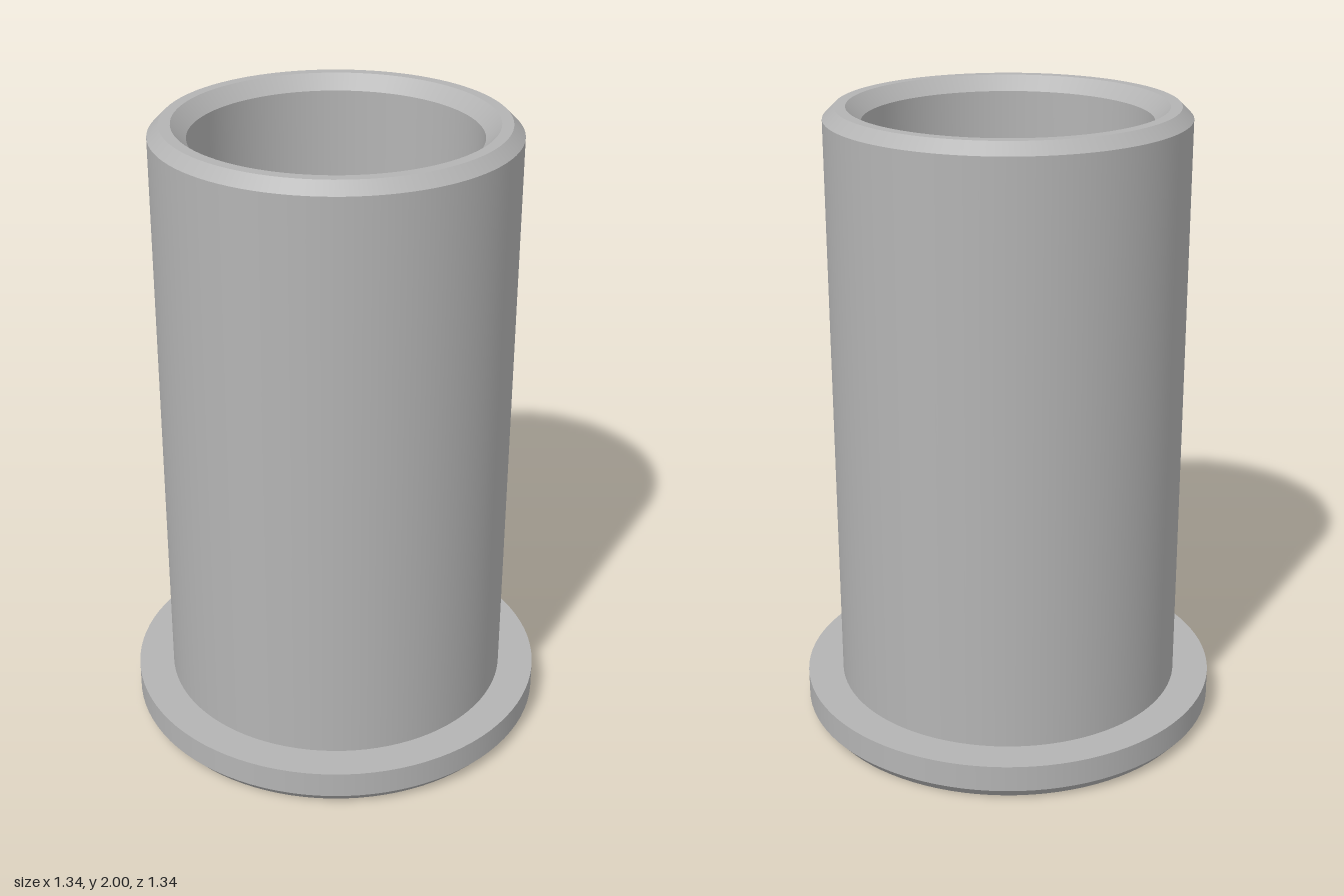
import * as THREE from 'three';
import { mergeGeometries } from 'three/addons/utils/BufferGeometryUtils.js';

const SEGMENTS = 96;

// Revolves each straight stretch of a profile on its own, so edges between stretches stay sharp
function turned(name, profile, material) {
  const bands = [];
  for (let i = 0; i < profile.length - 1; i++) {
    const pair = [profile[i], profile[i + 1]].map(([r, y]) => new THREE.Vector2(r, y));
    bands.push(new THREE.LatheGeometry(pair, SEGMENTS));
  }
  const mesh = new THREE.Mesh(mergeGeometries(bands), material);
  mesh.name = name;
  return mesh;
}

export function createModel() {
  const group = new THREE.Group();
  group.name = 'flangedBushing';
  const steel = new THREE.MeshStandardMaterial({ color: 0xb4b4b4 });
  steel.name = 'plain grey metal';

  // Flange: underside, chamfered lower edge, rim and upper face
  group.add(turned('flange', [[0.41, 0], [0.64, 0], [0.67, 0.035], [0.67, 0.12], [0.555, 0.12]], steel));

  // Sleeve: outer wall, chamfered rim and countersunk mouth
  group.add(turned('sleeve', [[0.555, 0.12], [0.555, 1.965], [0.52, 2], [0.485, 2], [0.44, 1.955]], steel));

  // Main bore from the mouth to its flat floor
  group.add(turned('mainBore', [[0.44, 1.955], [0.44, 0.58], [0.23, 0.58]], steel));

  // Narrow through hole, tapering out to the lower bore and its chamfered mouth
  group.add(turned('lowerBore', [[0.23, 0.58], [0.23, 0.51], [0.36, 0.38], [0.36, 0.045], [0.41, 0]], steel));

  return group;
}
